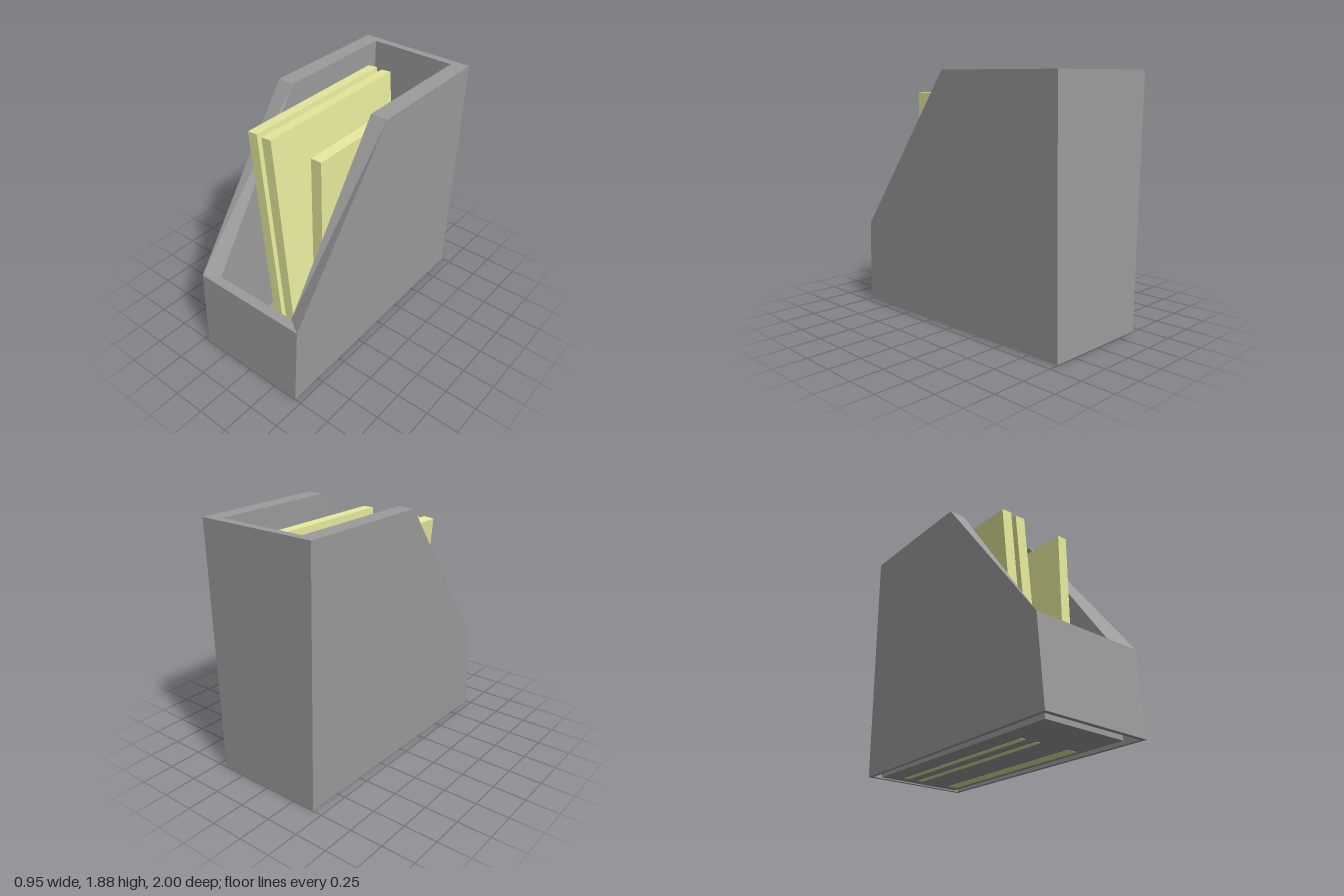
import * as THREE from 'three';
import { toCreasedNormals } from 'three/addons/utils/BufferGeometryUtils.js';

// Six-point plan outline: back pair, middle pair (where the side slope starts), front pair.
// Each argument is [halfWidth, y, z].
function ring(back, mid, front) {
  const at = ([x, y, z], s) => [x * s, y, z];
  return [at(back, -1), at(back, 1), at(mid, 1), at(front, 1), at(front, -1), at(mid, -1)];
}
const flatRing = (x, y, zBack, zFront) => ring([x, y, zBack], [x, y, 0.045], [x, y, zFront]);

// Skins a series of rings and closes both ends.
function loft(rings) {
  const n = rings[0].length;
  const index = [];
  for (let r = 0; r < rings.length - 1; r++) {
    for (let i = 0; i < n; i++) {
      const a = r * n + i, b = r * n + (i + 1) % n;
      index.push(a, a + n, b + n, a, b + n, b);
    }
  }
  const last = (rings.length - 1) * n;
  for (let i = 1; i < n - 1; i++) {
    index.push(0, i, i + 1);
    index.push(last, last + i + 1, last + i);
  }
  const geometry = new THREE.BufferGeometry();
  geometry.setAttribute('position', new THREE.Float32BufferAttribute(rings.flat(2), 3));
  geometry.setIndex(index);
  return toCreasedNormals(geometry, 0.4);
}

export function createModel() {
  const group = new THREE.Group();
  const grey = new THREE.MeshStandardMaterial({ color: 0x9c9c9c });
  const yellow = new THREE.MeshStandardMaterial({ color: 0xe9ec9d });

  // Holder: inner tray and outer shell with an open groove between them underneath
  const holder = new THREE.Mesh(loft([
    flatRing(0.347, 0.004, -0.94, 0.89),
    flatRing(0.347, 0.35, -0.94, 0.89),
    flatRing(0.415, 0.35, -0.97, 0.96),
    ring([0.4, 0.004, -0.97], [0.412, 0.004, 0.045], [0.422, 0.004, 0.965]),
    ring([0.428, 0.004, -1], [0.44, 0.004, 0.045], [0.451, 0.004, 1]),
    ring([0.467, 1.883, -1], [0.475, 1.883, 0.045], [0.463, 0.655, 0.965]),
    ring([0.345, 1.883, -0.94], [0.345, 1.883, 0.045], [0.345, 0.655, 0.89]),
    flatRing(0.343, 0.03, -0.94, 0.89),
  ]), grey);
  holder.name = 'holder';
  group.add(holder);

  // Files: one upright, two leaning; each pivots on its lower -x edge
  const fileGeometry = new THREE.BoxGeometry(0.084, 1.714, 1.36);
  fileGeometry.translate(0.042, 0.857, -0.17);
  const files = [
    ['uprightFile', 0.222, 0.002, 0],
    ['innerLeaningFile', -0.07, 0, 0.085],
    ['outerLeaningFile', -0.198, 0, 0.085],
  ];
  for (const [name, x, y, lean] of files) {
    const file = new THREE.Mesh(fileGeometry, yellow);
    file.name = name;
    file.position.set(x, y, 0);
    file.rotation.z = lean;
    group.add(file);
  }
  return group;
}
